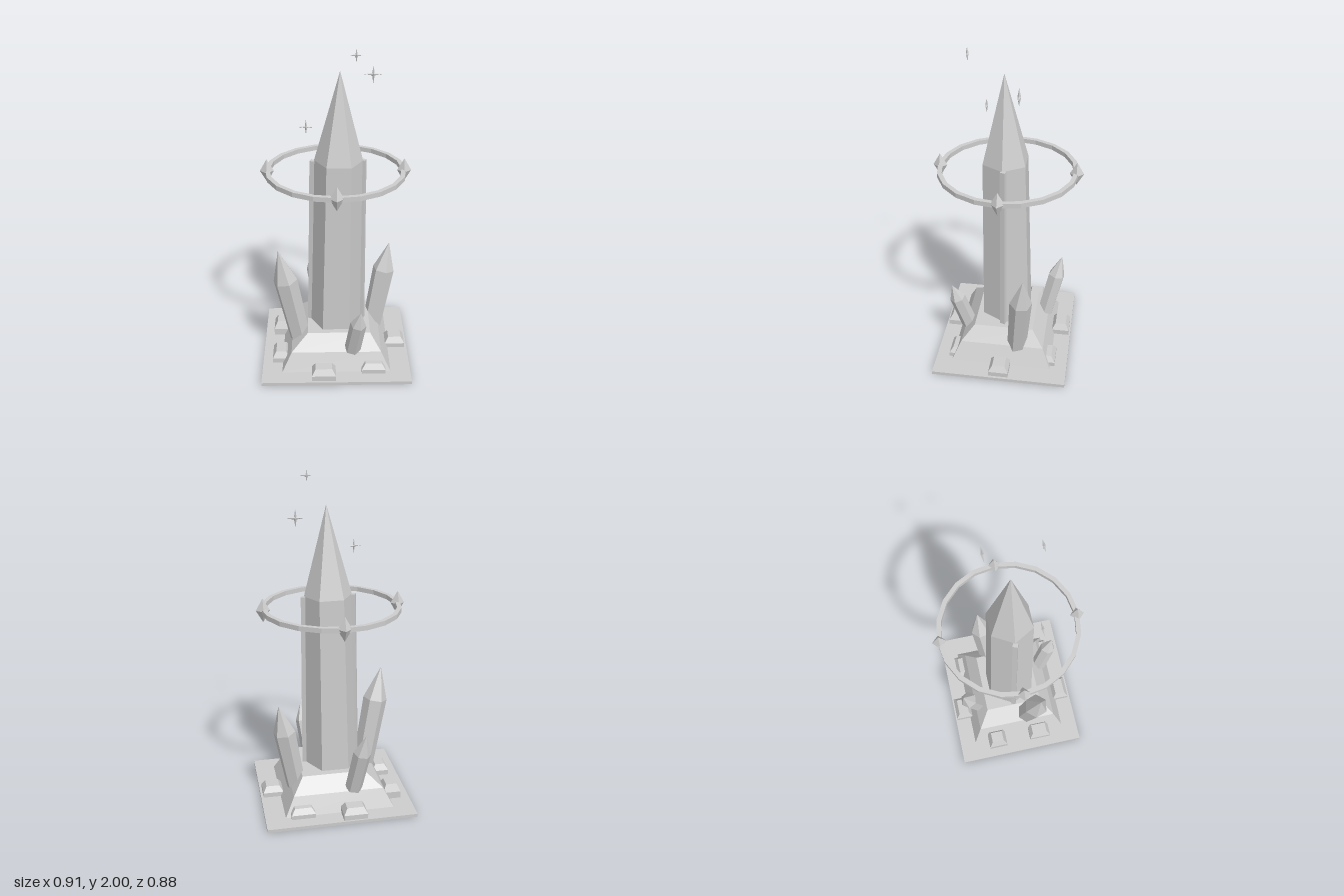
import * as THREE from 'three';

const stone = new THREE.MeshStandardMaterial({ color: 0xcccccc });
stone.name = 'pale stone';

// Flat-shaded mesh added to a parent
function add(parent, name, geometry) {
  const g = geometry.index ? geometry.toNonIndexed() : geometry;
  g.computeVertexNormals();
  const mesh = new THREE.Mesh(g, stone);
  mesh.name = name;
  parent.add(mesh);
  return mesh;
}

// Closed stack of rectangles, each layer [y, x0, x1, z0, z1]
function stack(layers) {
  const pos = [], idx = [];
  for (const [y, x0, x1, z0, z1] of layers) pos.push(x0, y, z1, x1, y, z1, x1, y, z0, x0, y, z0);
  for (let l = 0; l < layers.length - 1; l++) {
    for (let i = 0; i < 4; i++) {
      const a = l * 4 + i, b = l * 4 + (i + 1) % 4;
      idx.push(a, b, b + 4, a, b + 4, a + 4);
    }
  }
  const t = (layers.length - 1) * 4;
  idx.push(0, 2, 1, 0, 3, 2, t, t + 1, t + 2, t, t + 2, t + 3);
  const g = new THREE.BufferGeometry();
  g.setAttribute('position', new THREE.Float32BufferAttribute(pos, 3));
  g.setIndex(idx);
  return g;
}

// Six-sided pointed crystal leaning from base to tip
function crystal(parent, name, base, tip, r0, r1, shoulder, spin) {
  const from = new THREE.Vector3(...base);
  const axis = new THREE.Vector3(...tip).sub(from);
  const L = axis.length();
  const profile = [[0, 0], [r0, 0], [r1, L * shoulder], [0, L]].map(p => new THREE.Vector2(...p));
  const mesh = add(parent, name, new THREE.LatheGeometry(profile, 6).rotateY(spin));
  mesh.position.copy(from);
  mesh.quaternion.setFromUnitVectors(new THREE.Vector3(0, 1, 0), axis.normalize());
}

// Four-pointed sparkle with a ridged centre on both sides
function sparkle(r) {
  const pos = [], rim = [];
  for (let i = 0; i < 8; i++) {
    const a = i * Math.PI / 4, d = i % 2 ? r * 0.2 : r;
    rim.push([Math.cos(a) * d, Math.sin(a) * d, 0]);
  }
  for (let i = 0; i < 8; i++) {
    const a = rim[i], b = rim[(i + 1) % 8];
    pos.push(0, 0, r * 0.2, ...a, ...b, 0, 0, -r * 0.2, ...b, ...a);
  }
  const g = new THREE.BufferGeometry();
  g.setAttribute('position', new THREE.Float32BufferAttribute(pos, 3));
  return g;
}

export function createModel() {
  const model = new THREE.Group();
  model.name = 'crystalMonument';

  // Ground plate and stepped mound
  add(model, 'basePlate', new THREE.BoxGeometry(0.91, 0.02, 0.82)).position.y = 0.01;
  add(model, 'mound', stack([
    [0.015, -0.335, 0.335, -0.31, 0.31],
    [0.13, -0.275, 0.275, -0.257, 0.257],
    [0.22, -0.175, 0.21, -0.185, 0.18],
  ]));

  // Rocks around the mound: x0, x1, z0, z1, height
  const rocks = [
    [-0.15, -0.005, -0.4, -0.29, 0.09], [0.155, 0.3, -0.335, -0.25, 0.08],
    [-0.4, -0.29, -0.215, -0.095, 0.11], [-0.395, -0.29, 0.07, 0.21, 0.09],
    [0.315, 0.44, -0.06, 0.06, 0.085], [-0.15, -0.005, 0.29, 0.395, 0.09],
    [0.155, 0.3, 0.25, 0.33, 0.08],
  ];
  for (const [x0, x1, z0, z1, h] of rocks) {
    const c = 0.022;
    add(model, 'rock', stack([
      [0.015, x0, x1, z0, z1],
      [h * 0.58, x0, x1, z0, z1],
      [h, x0 + c, x1 - c, z0 + c, z1 - c],
    ]));
  }

  // Tall crystal and its four leaning companions
  crystal(model, 'mainCrystal', [0, 0.2, 0], [0.025, 1.83, 0.016], 0.165, 0.142, 0.675, Math.PI / 6);
  crystal(model, 'leftCrystal', [0.235, 0.1, -0.09], [0.34, 0.68, -0.135], 0.06, 0.068, 0.69, 0.2);
  crystal(model, 'rightCrystal', [-0.22, 0.1, 0.075], [-0.345, 0.77, 0.13], 0.065, 0.075, 0.69, 0.35);
  crystal(model, 'frontCrystal', [0.1, 0.14, 0.235], [0.145, 0.46, 0.33], 0.05, 0.049, 0.69, 0.3);
  crystal(model, 'backCrystal', [-0.095, 0.14, -0.235], [-0.15, 0.54, -0.33], 0.052, 0.054, 0.67, 0.4);

  // Narrow ribs on the side edges of the tall crystal
  for (const [x, lean] of [[-0.147, -0.024], [0.165, 0.004]]) {
    const rib = add(model, 'rib', new THREE.BoxGeometry(0.025, 1.1, 0.03));
    rib.position.set(x, 0.75, 0.005);
    rib.rotation.set(0, -0.35, lean);
  }

  // Floating ring of twenty straight segments
  const section = [[0.385, -0.014], [0.412, -0.014], [0.412, 0.014], [0.385, 0.014], [0.385, -0.014]];
  const ring = add(model, 'ring', new THREE.LatheGeometry(section.map(p => new THREE.Vector2(...p)), 20));
  ring.position.y = 1.23;

  // Four gems on the ring
  for (let i = 0; i < 4; i++) {
    const a = i * Math.PI / 2;
    const gem = add(model, 'ringGem', new THREE.OctahedronGeometry(1).scale(0.041, 0.072, 0.041));
    gem.position.set(Math.cos(a) * 0.4, 1.233, Math.sin(a) * 0.4);
  }

  // Sparkles in the air: x, y, z, radius
  for (const [x, y, z, r] of [[0.105, 1.962, 0.2, 0.038], [0.215, 1.78, -0.09, 0.051], [-0.165, 1.553, 0.148, 0.043]]) {
    add(model, 'sparkle', sparkle(r)).position.set(x, y, z);
  }
  return model;
}
